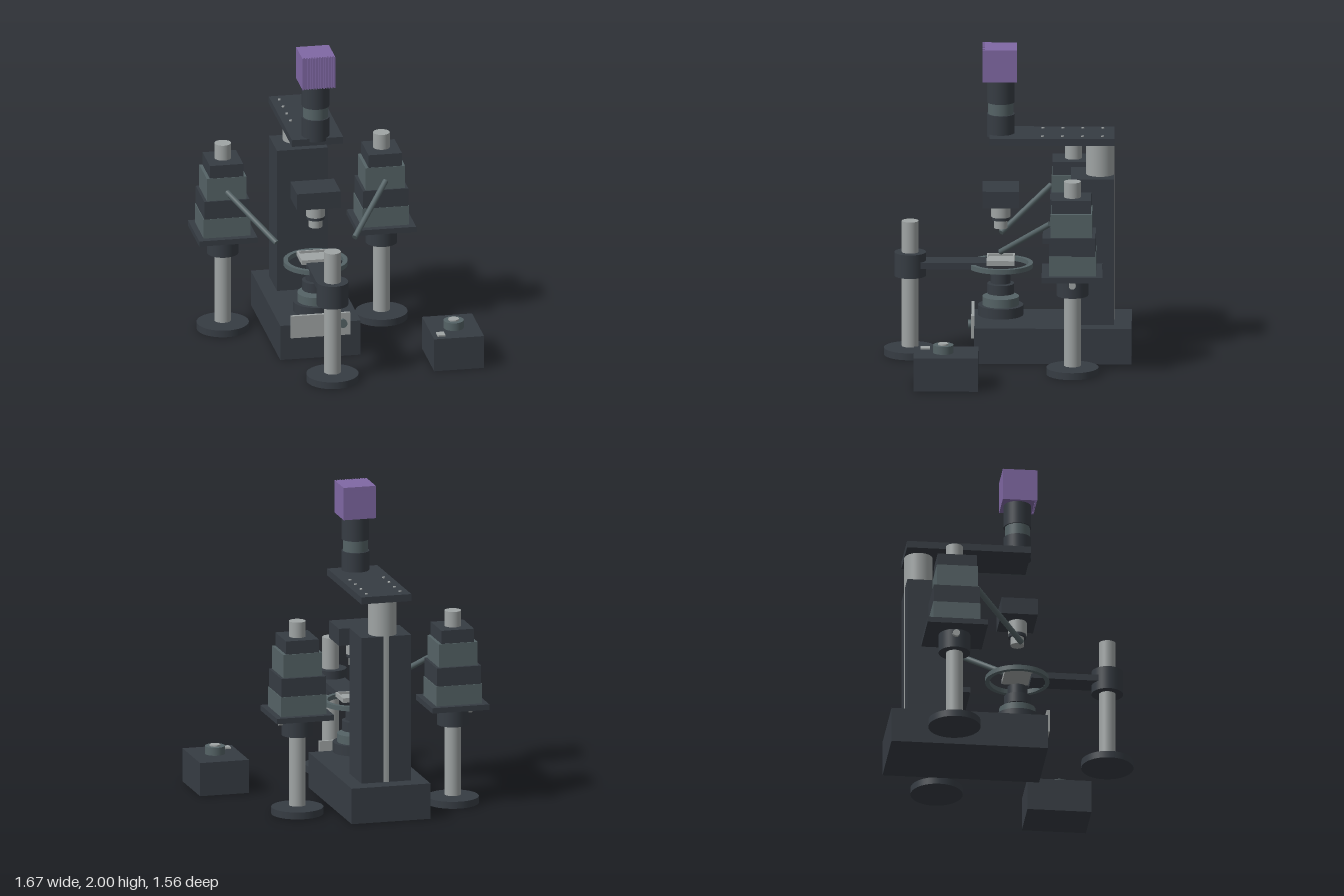
import * as THREE from 'three';

const mat = (name, color) => {
  const m = new THREE.MeshStandardMaterial({ color });
  m.name = name;
  return m;
};

export function createModel() {
  const dark = mat('charcoal', 0x363c43);
  const slate = mat('slate', 0x556366);
  const light = mat('brushedMetal', 0x9fa4a4);
  const purple = mat('purple', 0x8068a4);

  const root = new THREE.Group();
  root.name = 'microscopeRig';
  const CX = -0.143; // axis of the main instrument
  const CZ = 0.043;  // optical axis

  const group = (name, x = 0, z = 0) => {
    const g = new THREE.Group();
    g.name = name;
    g.position.set(x, 0, z);
    root.add(g);
    return g;
  };
  const add = (parent, name, geo, material) => {
    const m = new THREE.Mesh(geo, material);
    m.name = name;
    parent.add(m);
    return m;
  };
  // Box given by its limits on each axis
  const box = (p, name, m, x0, x1, y0, y1, z0, z1) => {
    const b = add(p, name, new THREE.BoxGeometry(x1 - x0, y1 - y0, z1 - z0), m);
    b.position.set((x0 + x1) / 2, (y0 + y1) / 2, (z0 + z1) / 2);
    return b;
  };
  // Upright cylinder
  const cyl = (p, name, m, r, y0, y1, x = 0, z = 0, seg = 40) => {
    const c = add(p, name, new THREE.CylinderGeometry(r, r, y1 - y0, seg), m);
    c.position.set(x, (y0 + y1) / 2, z);
    return c;
  };
  // Cylinder between two points
  const rod = (p, name, m, r, a, b) => {
    const d = b.clone().sub(a);
    const c = add(p, name, new THREE.CylinderGeometry(r, r, d.length(), 24), m);
    c.position.copy(a).add(b).multiplyScalar(0.5);
    c.quaternion.setFromUnitVectors(new THREE.Vector3(0, 1, 0), d.normalize());
    return c;
  };
  const v = (x, y, z) => new THREE.Vector3(x, y, z);

  // Base, column and top bridge
  const stand = group('stand', CX);
  box(stand, 'base', dark, -0.258, 0.258, 0, 0.23, -0.783, 0.21);
  box(stand, 'column', dark, -0.163, 0.163, 0.23, 1.175, -0.672, -0.4);
  cyl(stand, 'columnRod', light, 0.09, 0.23, 1.395, 0, -0.584);
  box(stand, 'bridgePlate', dark, -0.164, 0.164, 1.395, 1.44, -0.674, 0.113);
  for (const x of [-0.11, 0.11])
    for (let i = 0; i < 4; i++)
      cyl(stand, 'bridgeScrew', light, 0.009, 1.43, 1.447, x, -0.6 + i * 0.126, 16);

  // Front control panel
  box(stand, 'frontPanel', light, -0.192, 0.188, 0.148, 0.296, 0.208, 0.228);
  rod(stand, 'panelKnob', slate, 0.028, v(0.138, 0.23, 0.22), v(0.138, 0.23, 0.247));

  // Camera and its tube
  const camera = group('cameraAssembly', CX, CZ);
  cyl(camera, 'lowerTube', dark, 0.088, 1.42, 1.565);
  cyl(camera, 'middleTube', slate, 0.079, 1.565, 1.64);
  cyl(camera, 'upperTube', dark, 0.087, 1.64, 1.79);
  box(camera, 'cameraBody', purple, -0.105, 0.105, 1.79, 2, -0.103, 0.1);
  for (let i = 0; i < 13; i++) {
    const x = -0.105 + i * 0.0168;
    box(camera, 'coolingFin', purple, x, x + 0.0084, 1.79, 2, 0.1, 0.115);
  }

  // Nosepiece and objective
  const objective = group('objectiveAssembly', CX, CZ);
  box(objective, 'nosepiece', dark, -0.14, 0.14, 0.98, 1.09, -0.115, 0.115);
  cyl(objective, 'objectiveBarrel', light, 0.06, 0.895, 0.98);
  cyl(objective, 'objectiveBand', dark, 0.056, 0.875, 0.895);
  cyl(objective, 'objectiveTip', light, 0.043, 0.822, 0.875);

  // Condenser stack
  const condenser = group('condenser', CX, CZ);
  cyl(condenser, 'condenserFoot', dark, 0.143, 0.26, 0.325);
  cyl(condenser, 'condenserRing', slate, 0.115, 0.325, 0.38);
  cyl(condenser, 'condenserBody', dark, 0.085, 0.4, 0.463);
  cyl(condenser, 'condenserLens', dark, 0.063, 0.467, 0.53);

  // Sample stage: flat ring with a shallow tray
  const stage = group('stage', CX, CZ);
  const ringShape = new THREE.Shape().absarc(0, 0, 0.203, 0, Math.PI * 2, false);
  ringShape.holes.push(new THREE.Path().absarc(0, 0, 0.175, 0, Math.PI * 2, true));
  const ringGeo = new THREE.ExtrudeGeometry(ringShape, { depth: 0.03, bevelEnabled: false, curveSegments: 48 });
  ringGeo.rotateX(-Math.PI / 2).translate(0, 0.567, 0);
  add(stage, 'stageRing', ringGeo, slate);
  box(stage, 'sampleTray', light, -0.105, 0.105, 0.6, 0.615, -0.088, 0.088);
  for (const s of [-1, 1]) {
    box(stage, 'trayRim', light, -0.105, 0.105, 0.615, 0.63, s * 0.082 - 0.006, s * 0.082 + 0.006);
    box(stage, 'trayRim', light, s * 0.099 - 0.006, s * 0.099 + 0.006, 0.615, 0.63, -0.076, 0.076);
  }

  // Stage post with clamp and arm
  const stagePost = group('stagePost', CX, 0.614);
  cyl(stagePost, 'postFoot', dark, 0.165, 0, 0.045);
  cyl(stagePost, 'post', light, 0.053, 0.055, 0.867);
  cyl(stagePost, 'clamp', dark, 0.1, 0.512, 0.665);
  box(stagePost, 'stageArm', dark, -0.076, 0.076, 0.57, 0.612, -0.49, -0.06);

  // Micromanipulators on both sides (s = +1 is the left one)
  for (const s of [-1, 1]) {
    const g = group(s > 0 ? 'leftManipulator' : 'rightManipulator', CX + s * 0.509, -0.412);
    cyl(g, 'postFoot', dark, 0.165, 0, 0.045);
    cyl(g, 'post', light, 0.053, 0.055, 1.25);
    cyl(g, 'clamp', dark, 0.1, 0.512, 0.635);
    rod(g, 'clampScrew', light, 0.022, v(s * 0.09, 0.6, 0), v(s * 0.124, 0.6, 0));
    box(g, 'mountPlate', dark, -0.187, 0.187, 0.635, 0.67, -0.19, 0.193);
    box(g, 'lowerSlide', slate, -0.15, 0.15, 0.67, 0.797, -0.15, 0.148);
    box(g, 'middleSlide', dark, -0.145, 0.145, 0.797, 0.915, -0.147, 0.146);
    box(g, 'upperSlide', slate, -0.127, 0.127, 0.915, 1.065, -0.125, 0.136);
    box(g, 'topBlock', dark, -0.107, 0.107, 1.065, 1.15, -0.118, 0.132);
    rod(g, 'probe', slate, 0.018, v(0, 0.973, 0.142), v(s * -0.258, 0.728, 0.455));
  }

  // Separate control box
  const control = group('controlBox', 0.675, 0.383);
  box(control, 'controlCase', dark, -0.16, 0.16, 0, 0.215, -0.203, 0.203);
  cyl(control, 'dial', slate, 0.064, 0.215, 0.266, 0, 0.017);
  cyl(control, 'dialCap', light, 0.034, 0.266, 0.275, 0, 0.017);
  box(control, 'button', light, -0.13, -0.08, 0.215, 0.225, 0.102, 0.162);

  return root;
}
